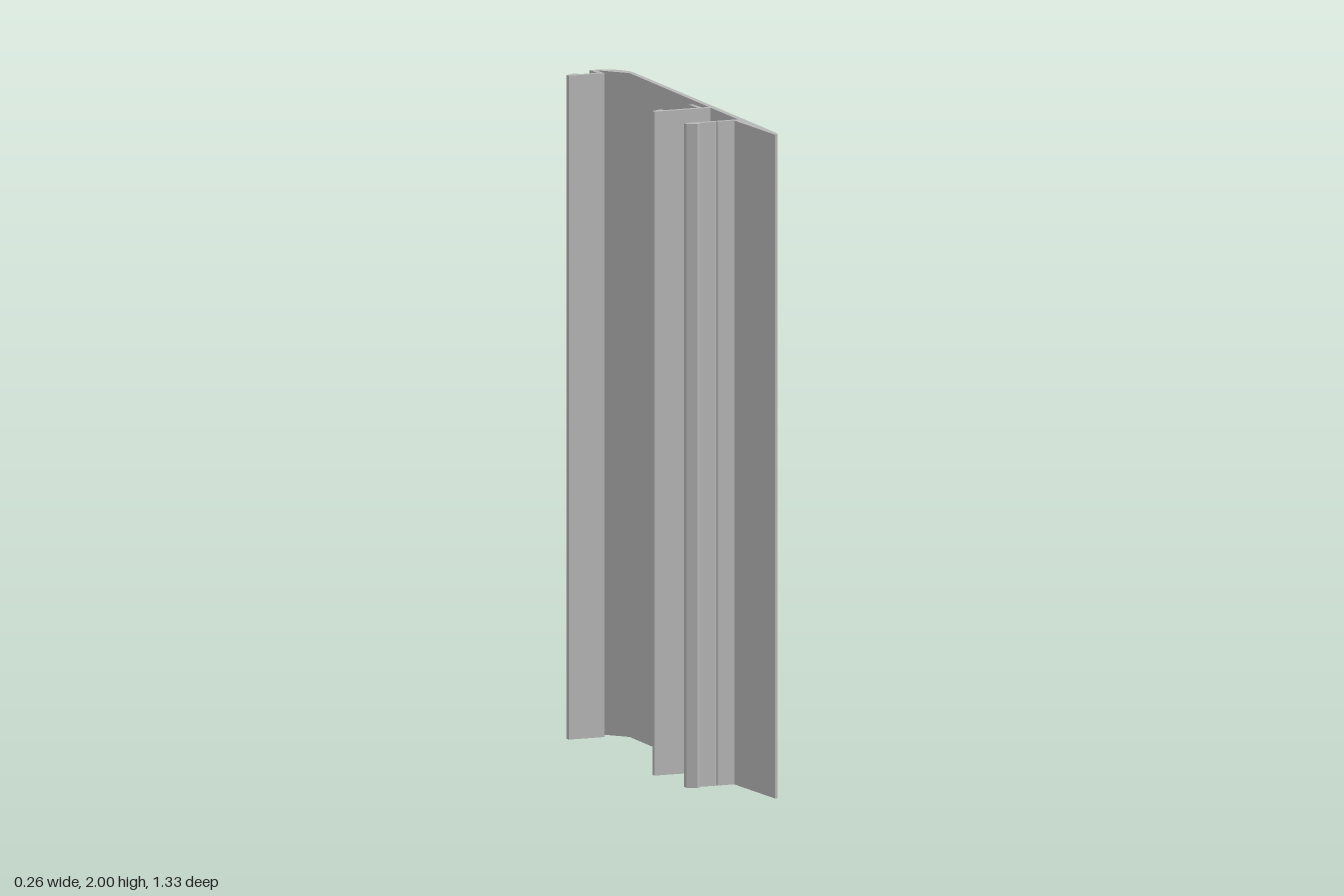
import * as THREE from 'three';
import { toCreasedNormals } from 'three/addons/utils/BufferGeometryUtils.js';

const HEIGHT = 2;

// Extrudes a plan outline (x, z) upwards from the ground.
function extrudePlan(name, shape, material) {
  const geometry = new THREE.ExtrudeGeometry(shape, { depth: HEIGHT, bevelEnabled: false, curveSegments: 20 });
  geometry.rotateX(Math.PI / 2);
  geometry.translate(0, HEIGHT, 0);
  const mesh = new THREE.Mesh(toCreasedNormals(geometry, 0.5), material);
  mesh.name = name;
  return mesh;
}

const outline = (points) => new THREE.Shape(points.map(([x, z]) => new THREE.Vector2(x, z)));

export function createModel() {
  const model = new THREE.Group();
  model.name = 'trimProfile';
  const grey = new THREE.MeshStandardMaterial({ color: 0xb6b6b6 });
  grey.name = 'grey';

  // Sloping face panel with a rounded back edge and a tapered front tip
  const panel = new THREE.Shape();
  panel.moveTo(0.026, 0.665);
  panel.lineTo(0.026, 0.355);
  panel.lineTo(0.045, 0.355);
  panel.lineTo(0.111, -0.566);
  panel.lineTo(0.05, -0.648);
  panel.lineTo(0.043, -0.648);
  panel.lineTo(0.043, -0.596);
  panel.lineTo(0.026, -0.596);
  panel.lineTo(0.026, -0.667);
  panel.lineTo(0.038, -0.667);
  panel.absarc(0.038, -0.577, 0.09, -Math.PI / 2, 0.07, false);
  panel.lineTo(0.045, 0.62);
  panel.quadraticCurveTo(0.042, 0.658, 0.03, 0.665);
  model.add(extrudePlan('facePanel', panel, grey));

  // Clip legs, each ending in a small barb
  model.add(extrudePlan('backClip', outline([
    [0.026, -0.596], [-0.074, -0.596], [-0.074, -0.612], [-0.046, -0.628],
    [-0.037, -0.624], [-0.032, -0.612], [0.026, -0.612],
  ]), grey));

  model.add(extrudePlan('middleClip', outline([
    [0.062, 0.125], [-0.122, 0.125], [-0.122, 0.109], [-0.094, 0.092],
    [-0.085, 0.096], [-0.08, 0.108], [0.063, 0.108],
  ]), grey));

  // Underside of the front leg carries a fine groove
  model.add(extrudePlan('frontClip', outline([
    [0.026, 0.355], [-0.13, 0.355], [-0.13, 0.372], [-0.102, 0.388],
    [-0.093, 0.384], [-0.088, 0.372], [-0.037, 0.372], [-0.032, 0.368],
    [-0.027, 0.372], [0.026, 0.372],
  ]), grey));

  // Short stop standing on the middle leg
  model.add(extrudePlan('stopRib', outline([
    [0.026, 0.108], [0.026, 0.042], [0.04, 0.042], [0.04, 0.108],
  ]), grey));

  return model;
}
